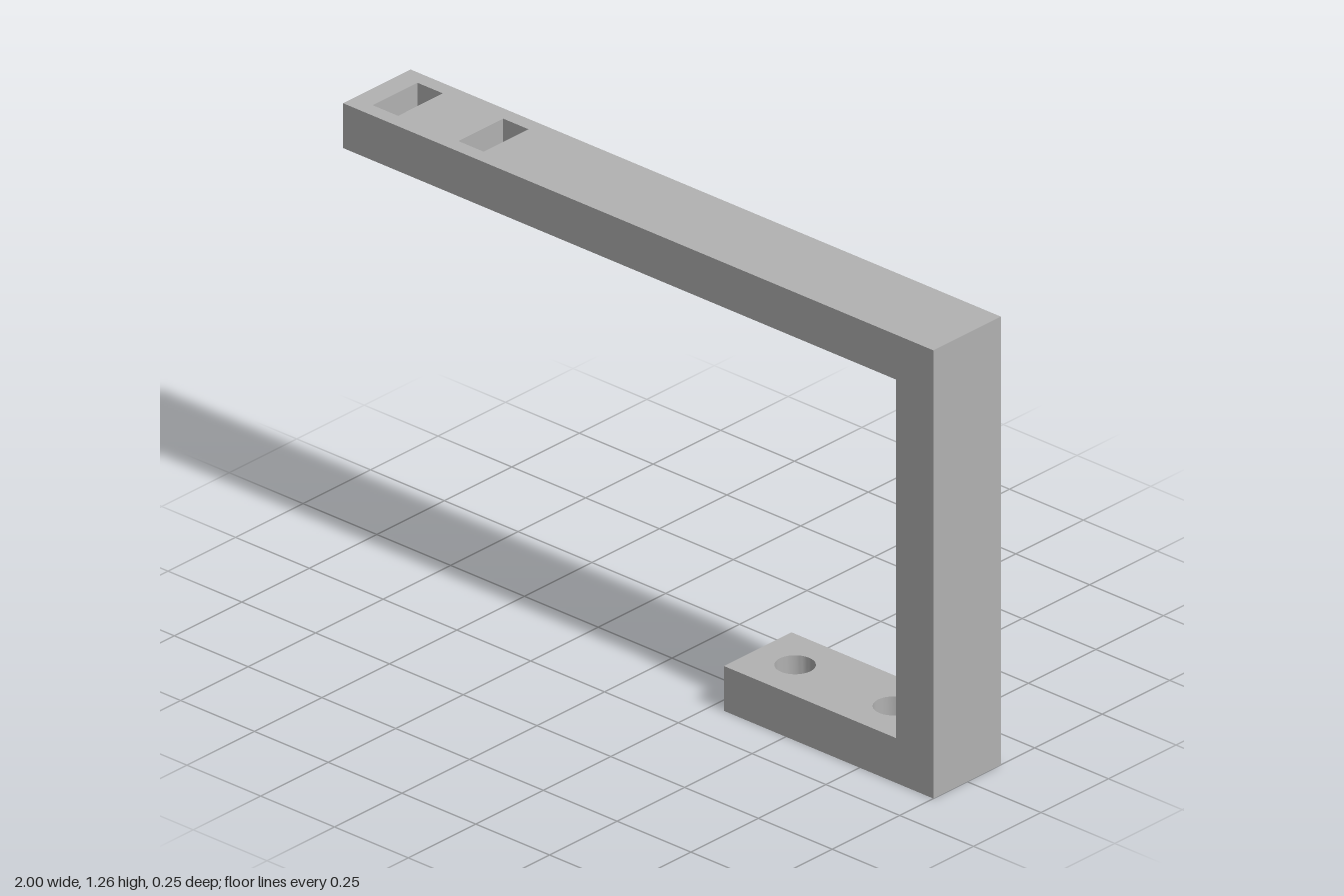
import * as THREE from 'three';
import { toCreasedNormals } from 'three/addons/utils/BufferGeometryUtils.js';

const T = 0.126;      // bar thickness
const H = 1.26;       // overall height
const D = 0.125;      // half depth
const FOOT_END = 0.29;

const grey = new THREE.MeshStandardMaterial({ color: 0xb2b2b2 });
grey.name = 'grey';

// Closed rectangle in the x/z plane
function rectangle(target, x0, x1, halfZ) {
  target.moveTo(x0, -halfZ);
  target.lineTo(x1, -halfZ);
  target.lineTo(x1, halfZ);
  target.lineTo(x0, halfZ);
  target.closePath();
  return target;
}

// Horizontal bar with through holes, its upper face at height top
function bar(name, x0, x1, top, holes) {
  const shape = rectangle(new THREE.Shape(), x0, x1, D);
  shape.holes.push(...holes);
  let geometry = new THREE.ExtrudeGeometry(shape, { depth: T, bevelEnabled: false, curveSegments: 24 });
  geometry.rotateX(Math.PI / 2);
  geometry.translate(0, top, 0);
  geometry = toCreasedNormals(geometry, Math.PI / 6);
  geometry.clearGroups();
  const mesh = new THREE.Mesh(geometry, grey);
  mesh.name = name;
  return mesh;
}

export function createModel() {
  const model = new THREE.Group();
  model.name = 'bracket';

  // Long upper arm with two rectangular slots near its free end
  const slots = [-0.895, -0.605].map((x) =>
    rectangle(new THREE.Path(), x - 0.043, x + 0.043, 0.083));
  model.add(bar('upperArm', -1, 1, H, slots));

  // Short foot with two round screw holes
  const screwHoles = [0.417, 0.75].map((x) =>
    new THREE.Path().absarc(x, 0, 0.052, 0, Math.PI * 2, true));
  model.add(bar('foot', FOOT_END, 1, T, screwHoles));

  // Upright post joining arm and foot
  const post = new THREE.Mesh(new THREE.BoxGeometry(T, H - 2 * T, 2 * D), grey);
  post.position.set(1 - T / 2, H / 2, 0);
  post.name = 'post';
  model.add(post);

  return model;
}
